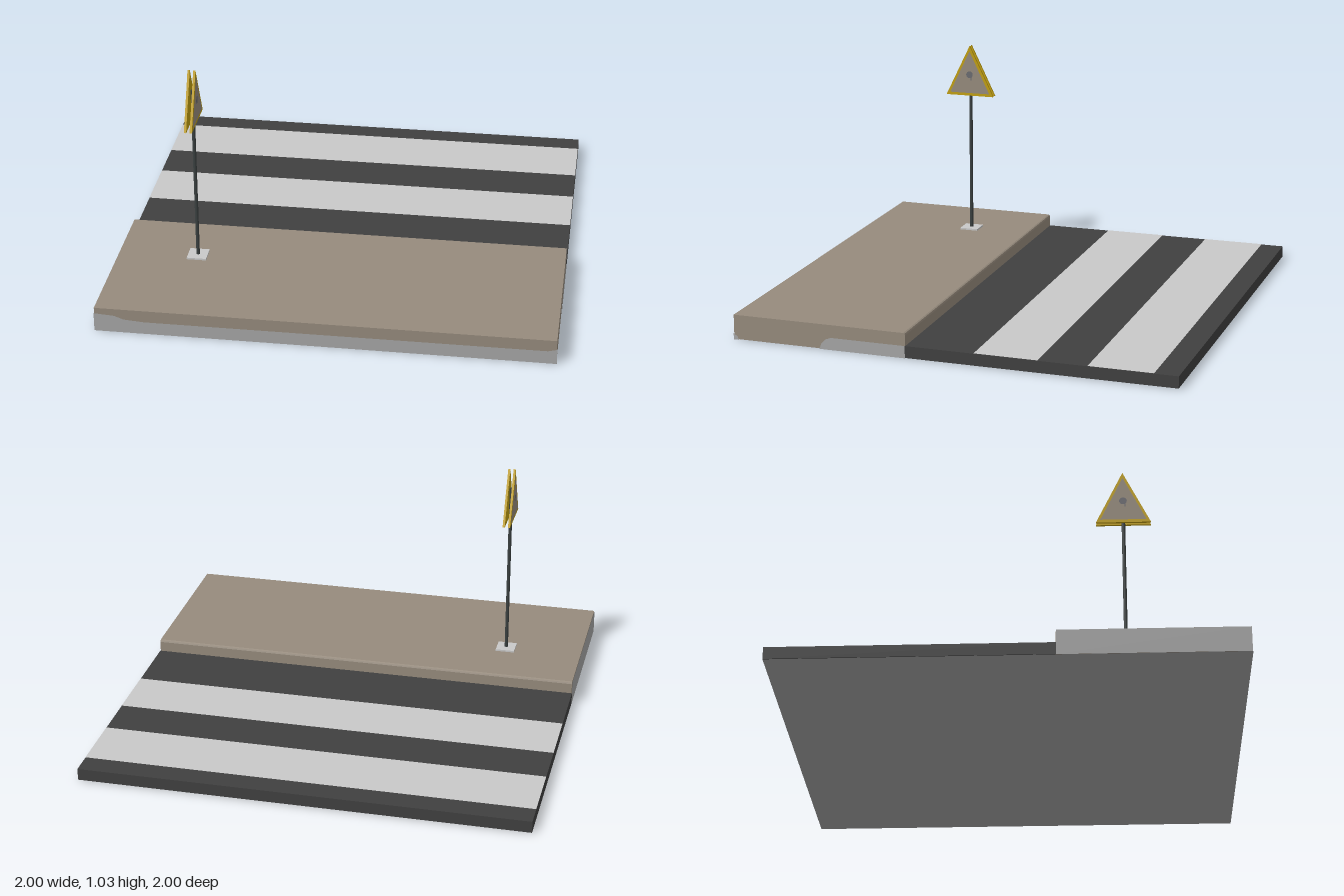
import * as THREE from 'three';

const mat = (name, color) => {
  const m = new THREE.MeshStandardMaterial({ color });
  m.name = name;
  return m;
};

export function createModel() {
  const group = new THREE.Group();
  const asphalt = mat('asphalt', 0x404040);
  const paint = mat('stripe paint', 0xc9c9c9);
  const paving = mat('paving', 0x968b7d);
  const concrete = mat('concrete', 0xa6a6a6);
  const poleMetal = mat('pole metal', 0x3a4040);
  const yellow = mat('sign yellow', 0xc2a010);
  const slate = mat('sign symbol', 0x6a6b70);

  const add = (name, geometry, material, x = 0, y = 0, z = 0, parent = group) => {
    const mesh = new THREE.Mesh(geometry, material);
    mesh.name = name;
    mesh.position.set(x, y, z);
    parent.add(mesh);
    return mesh;
  };
  const shapeOf = pts => new THREE.Shape(pts.map(p => new THREE.Vector2(...p)));

  // Road slab with two painted stripes
  add('road', new THREE.BoxGeometry(2, 0.053, 1.2), asphalt, 0, 0.0285, -0.4);
  for (const [z0, z1] of [[-0.895, -0.61], [-0.392, -0.11]]) {
    add('crossingStripe', new THREE.PlaneGeometry(2, z1 - z0).rotateX(-Math.PI / 2), paint,
      0, 0.0565, (z0 + z1) / 2);
  }

  // Raised pavement with a softened kerb edge, extruded across the road
  const profile = shapeOf([[1, 0.002], [1, 0.112], [0.209, 0.112], [0.203, 0.109],
    [0.2, 0.102], [0.2, 0.002]]);
  const pavement = new THREE.ExtrudeGeometry(profile, { depth: 1.996, bevelEnabled: false });
  pavement.rotateY(-Math.PI / 2).translate(0.998, 0, -0.002);
  add('pavement', pavement, paving);

  // Underside and exposed concrete faces
  add('underside', new THREE.PlaneGeometry(2, 2).rotateX(Math.PI / 2), concrete);
  add('frontConcrete', new THREE.ShapeGeometry(shapeOf([[-1, 0], [1, 0], [1, 0.07],
    [0.96, 0.06], [-0.78, 0.058], [-0.87, 0.065], [-0.91, 0.08], [-1, 0.086]])), concrete, 0, 0, 1);
  add('rightSideConcrete', new THREE.PlaneGeometry(0.798, 0.11).rotateY(-Math.PI / 2), concrete,
    -1, 0.056, 0.599);
  const sidePatches = [
    [[-0.595, 0], [-0.2, 0], [-0.2, 0.055], [-0.54, 0.055], [-0.565, 0.046], [-0.585, 0.025]],
    [[-1, 0], [-0.975, 0], [-0.982, 0.016], [-1, 0.028]],
  ];
  for (const pts of sidePatches) {
    add('leftSideConcrete', new THREE.ShapeGeometry(shapeOf(pts)).rotateY(Math.PI / 2), concrete, 1);
  }

  // Warning sign: base plate, pole and two triangular boards
  const sign = new THREE.Group();
  sign.name = 'warningSign';
  sign.position.set(-0.641, 0, 0.49);
  group.add(sign);
  add('basePlate', new THREE.BoxGeometry(0.088, 0.008, 0.088), paint, 0, 0.116, 0, sign);
  add('pole', new THREE.CylinderGeometry(0.008, 0.008, 0.818, 12), poleMetal, 0, 0.525, 0, sign);

  const triangle = s => shapeOf([[-0.12 * s, -0.082 * s], [0.12 * s, -0.082 * s], [0, 0.163 * s]]);
  for (const side of [-1, 1]) {
    const board = new THREE.Group();
    board.name = 'signBoard';
    board.position.set(side * 0.0125, 0.867, 0);
    board.rotation.y = side * Math.PI / 2;
    sign.add(board);
    add('signFrame', new THREE.ExtrudeGeometry(triangle(1), { depth: 0.01, bevelEnabled: false }),
      yellow, 0, 0, -0.005, board);
    add('signPanel', new THREE.ShapeGeometry(triangle(0.84)), paving, 0, 0, 0.006, board);
    add('signSymbol', new THREE.CircleGeometry(0.017, 16), slate, 0, 0.022, 0.007, board);
    add('signSymbolTail', new THREE.PlaneGeometry(0.005, 0.024), slate, 0.008, 0.005, 0.007, board);
  }
  return group;
}
